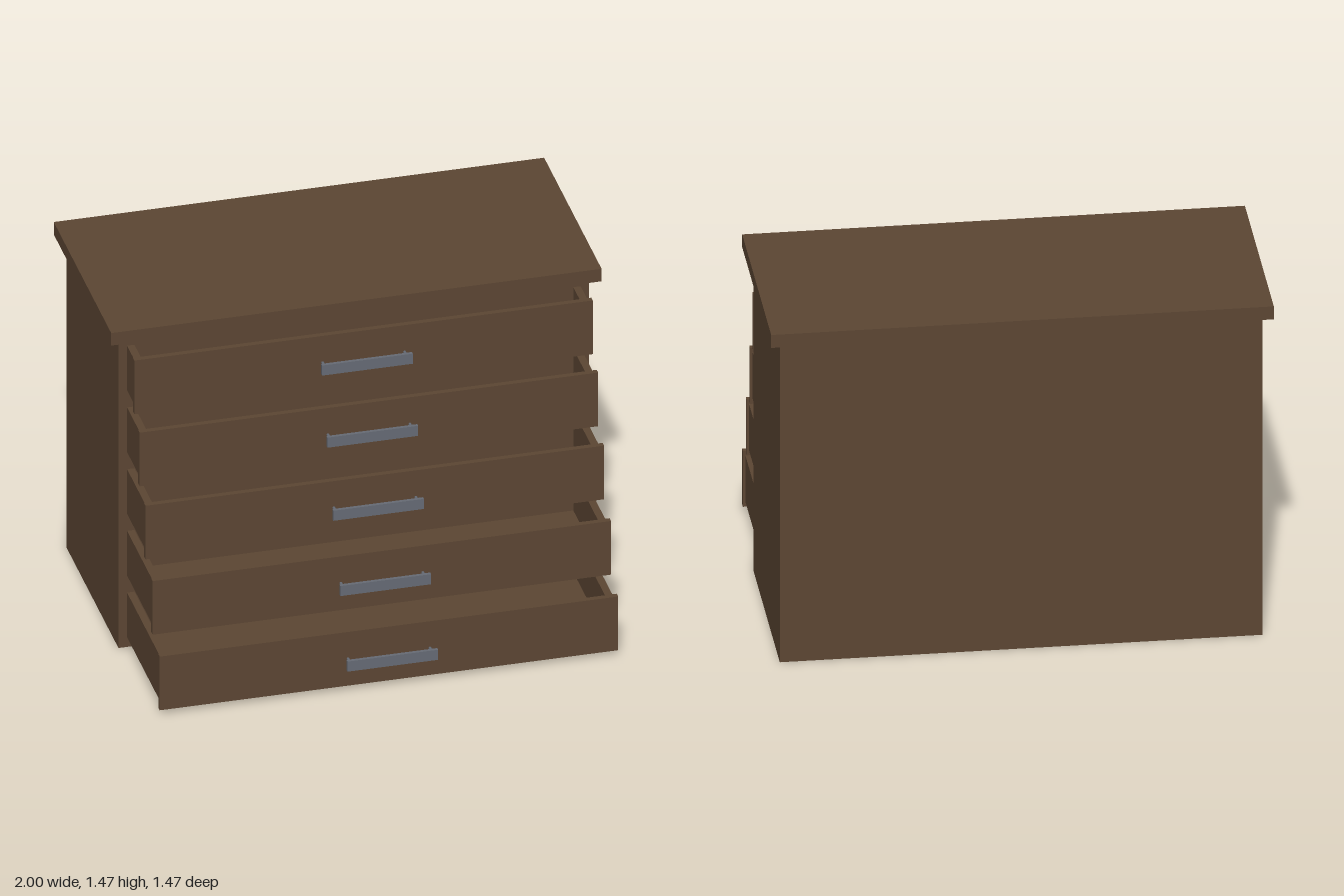
import * as THREE from 'three';

export function createModel() {
  const wood = new THREE.MeshStandardMaterial({ color: 0x5c4633 });
  wood.name = 'brown wood';
  const metal = new THREE.MeshStandardMaterial({ color: 0x666b75 });
  metal.name = 'grey metal';

  const model = new THREE.Group();
  model.name = 'chestOfDrawers';

  // Box given by its min and max on each axis
  function box(parent, name, material, [x0, x1], [y0, y1], [z0, z1]) {
    const mesh = new THREE.Mesh(new THREE.BoxGeometry(x1 - x0, y1 - y0, z1 - z0), material);
    mesh.position.set((x0 + x1) / 2, (y0 + y1) / 2, (z0 + z1) / 2);
    mesh.name = name;
    parent.add(mesh);
  }

  // Carcass and overhanging top
  const face = 0.125;
  box(model, 'cabinetBody', wood, [-0.96, 0.96], [0, 1.41], [-0.69, face]);
  box(model, 'tableTop', wood, [-1, 1], [1.41, 1.467], [-0.735, 0.165]);

  // Open-topped drawer; y is its lower front edge, z its front face
  function addDrawer(y, z) {
    const drawer = new THREE.Group();
    drawer.name = 'drawer';
    const back = z - 0.023, inner = back - 0.03;
    const low = y + 0.022, high = y + 0.226;
    box(drawer, 'drawerFront', wood, [-0.935, 0.935], [y, y + 0.245], [back, z]);
    box(drawer, 'drawerFloor', wood, [-0.895, 0.895], [low, low + 0.03], [face, inner]);
    box(drawer, 'drawerInnerFront', wood, [-0.895, 0.895], [low, high], [inner, back]);
    box(drawer, 'drawerLeftSide', wood, [0.895, 0.925], [low, high], [face, back]);
    box(drawer, 'drawerRightSide', wood, [-0.925, -0.895], [low, high], [face, back]);

    // Bar handle on two posts
    const handle = new THREE.Group();
    handle.name = 'handle';
    const mid = y + 0.123;
    box(handle, 'handleBar', metal, [-0.185, 0.185], [mid - 0.023, mid + 0.023], [z + 0.046, z + 0.06]);
    for (const side of [-1, 1]) {
      const post = new THREE.Mesh(new THREE.CylinderGeometry(0.006, 0.006, 0.046, 12), metal);
      post.rotation.x = Math.PI / 2;
      post.position.set(side * 0.167, mid, z + 0.023);
      post.name = 'handlePost';
      handle.add(post);
    }
    drawer.add(handle);
    model.add(drawer);
  }

  // Each drawer is pulled out less than the one below
  [0.675, 0.563, 0.453, 0.361, 0.277].forEach((z, i) => addDrawer(0.022 + i * 0.282, z));

  return model;
}
